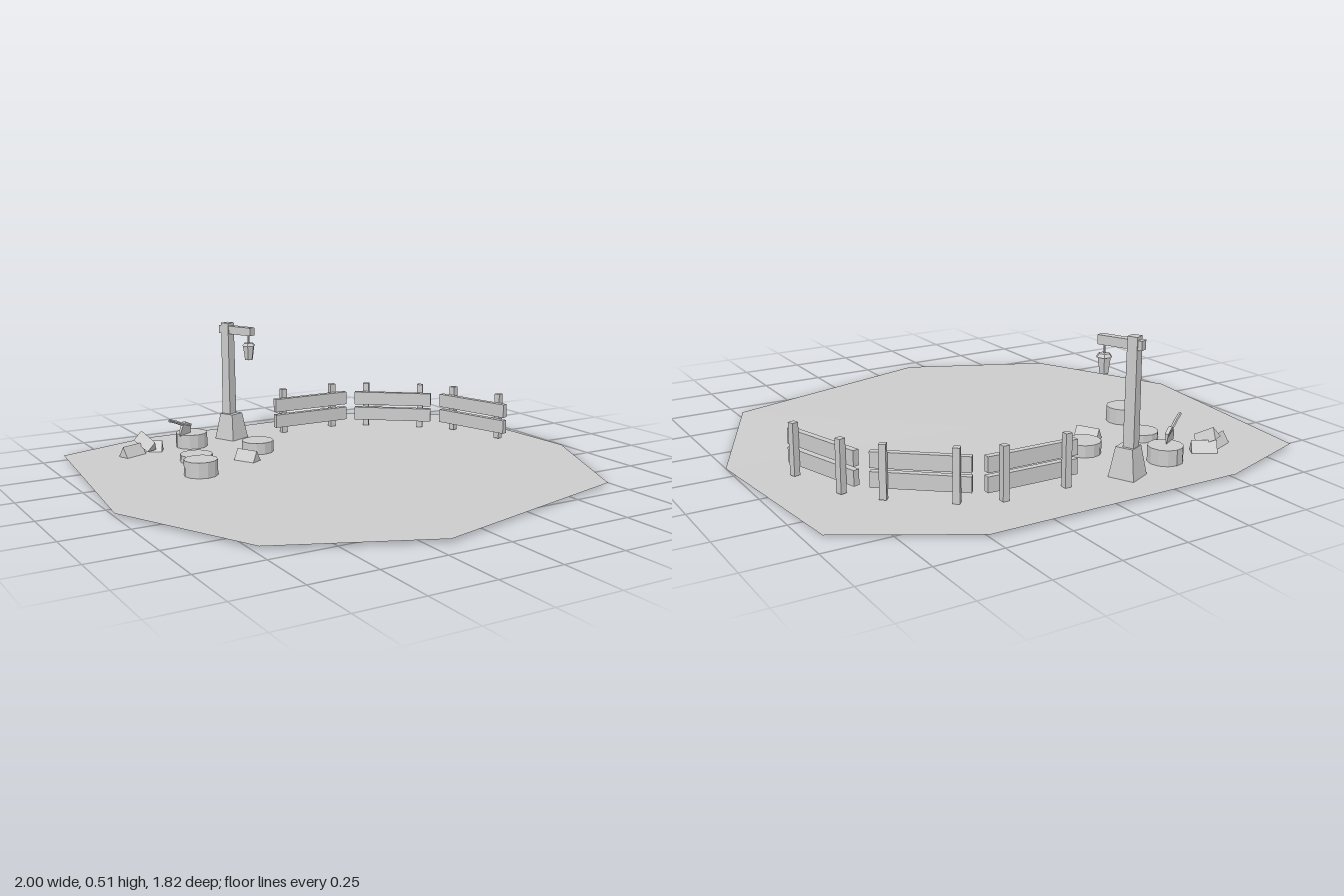
import * as THREE from 'three';

const material = new THREE.MeshStandardMaterial({ color: 0xcccccc, flatShading: true, side: THREE.DoubleSide });
const GROUND = 0.01;

function add(parent, name, geometry, x = 0, y = 0, z = 0) {
  const mesh = new THREE.Mesh(geometry, material);
  mesh.name = name;
  mesh.position.set(x, y, z);
  parent.add(mesh);
  return mesh;
}

function group(parent, name, x, z, yaw) {
  const g = new THREE.Group();
  g.name = name;
  g.position.set(x, 0, z);
  g.rotation.y = yaw;
  parent.add(g);
  return g;
}

// Square frustum: bottom side, top side, height
function taper(bottom, top, height) {
  return new THREE.CylinderGeometry(top / Math.SQRT2, bottom / Math.SQRT2, height, 4).rotateY(Math.PI / 4);
}

// Thin, slightly uneven ground sheet, as a fan around the centre
function groundGeometry() {
  const rim = [
    [-0.51, 0.01, -0.91], [0.5, 0.01, -0.91], [0.94, 0.005, -0.64], [1, 0, 0.085], [0.73, 0.008, 0.66],
    [-0.17, 0.012, 0.905], [-0.73, 0.012, 0.655], [-1, 0.012, 0.09], [-0.905, 0.012, -0.78],
  ];
  const points = [];
  rim.forEach((p, i) => points.push(0, 0.01, 0, ...rim[(i + 1) % rim.length], ...p));
  const geometry = new THREE.BufferGeometry();
  geometry.setAttribute('position', new THREE.Float32BufferAttribute(points, 3));
  geometry.computeVertexNormals();
  return geometry;
}

// Fence panel between two ground points, posts on the outer side
function fencePanel(parent, [x0, z0], [x1, z1]) {
  const length = Math.hypot(x1 - x0, z1 - z0);
  const panel = group(parent, 'fencePanel', (x0 + x1) / 2, (z0 + z1) / 2, -Math.atan2(z1 - z0, x1 - x0));
  for (const y of [0.07, 0.14]) add(panel, 'fencePlank', new THREE.BoxGeometry(length, 0.057, 0.024), 0, y, 0);
  for (const x of [-0.124, 0.122]) {
    add(panel, 'fencePost', new THREE.BoxGeometry(0.025, 0.195, 0.025), x, GROUND + 0.0975, -0.0245);
  }
}

// Split log with a triangular section
function splitLog(parent, x, y, z, yaw, pitch = 0, length = 0.095) {
  const geometry = new THREE.CylinderGeometry(0.029, 0.029, length, 3).rotateX(-Math.PI / 2);
  add(parent, 'splitLog', geometry, x, y, z).rotation.set(pitch, yaw, 0, 'YXZ');
}

function lanternPost(parent) {
  const post = group(parent, 'lanternPost', -0.18, -0.733, 0.43);
  add(post, 'postBase', taper(0.1, 0.066, 0.11), 0, GROUND + 0.055, 0.01);
  add(post, 'post', taper(0.042, 0.038, 0.42), 0, 0.305, 0);
  add(post, 'arm', new THREE.BoxGeometry(0.03, 0.034, 0.17), 0, 0.486, 0.05);
  // Lantern hanging from the arm
  add(post, 'lanternHook', new THREE.CylinderGeometry(0.004, 0.004, 0.045, 6), 0, 0.45, 0.115);
  add(post, 'lanternCap', new THREE.CylinderGeometry(0.02, 0.03, 0.012, 6), 0, 0.431, 0.115);
  add(post, 'lanternBody', new THREE.CylinderGeometry(0.026, 0.017, 0.062, 6), 0, 0.396, 0.115);
}

function axe(parent) {
  const g = group(parent, 'axe', -0.418, -0.655, Math.atan2(-0.5, -0.86));
  const outline = [[0.01, 0.125], [-0.03, 0.108], [-0.028, 0.07], [0.045, 0.068], [0.032, 0.105]];
  const shape = new THREE.Shape(outline.map(([x, y]) => new THREE.Vector2(x, y)));
  const head = new THREE.ExtrudeGeometry(shape, { depth: 0.014, bevelEnabled: false }).translate(0, 0, -0.007);
  // Thin the lower edge into a blade
  const p = head.attributes.position;
  for (let i = 0; i < p.count; i++) if (p.getY(i) < 0.08) p.setZ(i, p.getZ(i) * 0.15);
  add(g, 'axeHead', head);
  const curve = new THREE.CatmullRomCurve3([
    new THREE.Vector3(-0.025, 0.1, 0), new THREE.Vector3(0.03, 0.118, 0),
    new THREE.Vector3(0.07, 0.135, 0), new THREE.Vector3(0.108, 0.147, 0),
  ]);
  add(g, 'axeHandle', new THREE.TubeGeometry(curve, 6, 0.007, 6));
}

export function createModel() {
  const model = new THREE.Group();
  model.name = 'woodcutterYard';
  add(model, 'ground', groundGeometry());

  // Tree stumps: x, z, height
  for (const [x, z, h] of [[-0.385, -0.675, 0.06], [-0.47, -0.43, 0.03], [-0.185, -0.45, 0.047], [-0.54, -0.225, 0.063]]) {
    add(model, 'stump', new THREE.CylinderGeometry(0.066, 0.066, h, 12), x, GROUND + h / 2, z);
  }

  // Fence curving around the back corner
  fencePanel(model, [0.015, -0.679], [0.37, -0.673]);
  fencePanel(model, [0.408, -0.648], [0.675, -0.431]);
  fencePanel(model, [0.712, -0.402], [0.811, -0.068]);

  lanternPost(model);
  axe(model);

  // Firewood
  splitLog(model, -0.292, 0.026, -0.33, 0.5);
  splitLog(model, -0.66, 0.026, -0.645, 1.95, 0, 0.1);
  splitLog(model, -0.568, 0.026, -0.675, 1.05);
  splitLog(model, -0.595, 0.055, -0.66, 0.45, 0.5, 0.085);
  return model;
}
